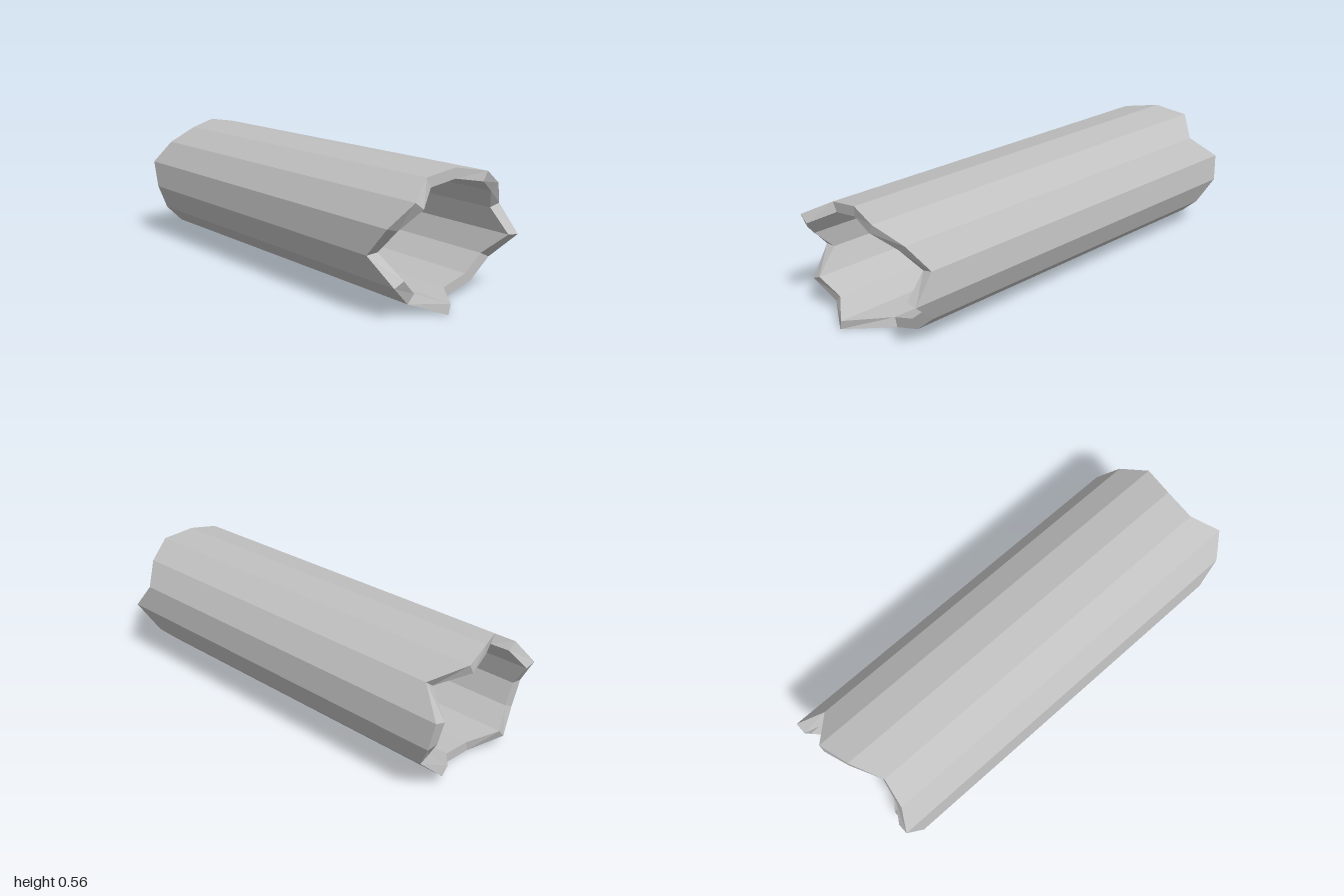
import * as THREE from 'three';

// Where each of the 15 staves ends, going round from the top towards the front
const LEFT_END = [-0.95, -0.88, -0.9, -0.95, -0.88, -0.88, -0.92, -0.84, -0.84, -0.94, -0.91, -0.98, -1, -0.88, -0.99];
const RIGHT_END = [0.92, 0.92, 1, 0.93, 0.83, 0.94, 0.9, 0.98, 0.8, 0.8, 0.8, 0.915, 0.82, 0.885, 0.945];
const SIDES = LEFT_END.length;
const CENTRE_Y = 0.277;

// Elliptical ring of corners whose x follows the jagged end
function ring(ends, radiusZ, radiusY) {
  return ends.map((x, k) => {
    const a = (k / SIDES) * Math.PI * 2;
    return [x, CENTRE_Y + Math.cos(a) * radiusY, Math.sin(a) * radiusZ];
  });
}

export function createModel() {
  const group = new THREE.Group();
  group.name = 'hollowLog';
  const grey = new THREE.MeshStandardMaterial({ color: 0xc0c0c0, flatShading: true });
  grey.name = 'plain grey';

  const outerLeft = ring(LEFT_END, 0.362, 0.283);
  const outerRight = ring(RIGHT_END, 0.362, 0.283);
  const innerLeft = ring(LEFT_END, 0.308, 0.239);
  const innerRight = ring(RIGHT_END, 0.308, 0.239);

  // Band of quads between two rings
  function addBand(name, from, to) {
    const points = [];
    for (let k = 0; k < SIDES; k++) {
      const n = (k + 1) % SIDES;
      points.push(from[k], from[n], to[n], from[k], to[n], to[k]);
    }
    const geometry = new THREE.BufferGeometry();
    geometry.setAttribute('position', new THREE.Float32BufferAttribute(points.flat(), 3));
    geometry.computeVertexNormals();
    const mesh = new THREE.Mesh(geometry, grey);
    mesh.name = name;
    group.add(mesh);
  }

  addBand('outerBark', outerLeft, outerRight);
  addBand('brokenRightEnd', outerRight, innerRight);
  addBand('innerHollow', innerRight, innerLeft);
  addBand('brokenLeftEnd', innerLeft, outerLeft);
  return group;
}
